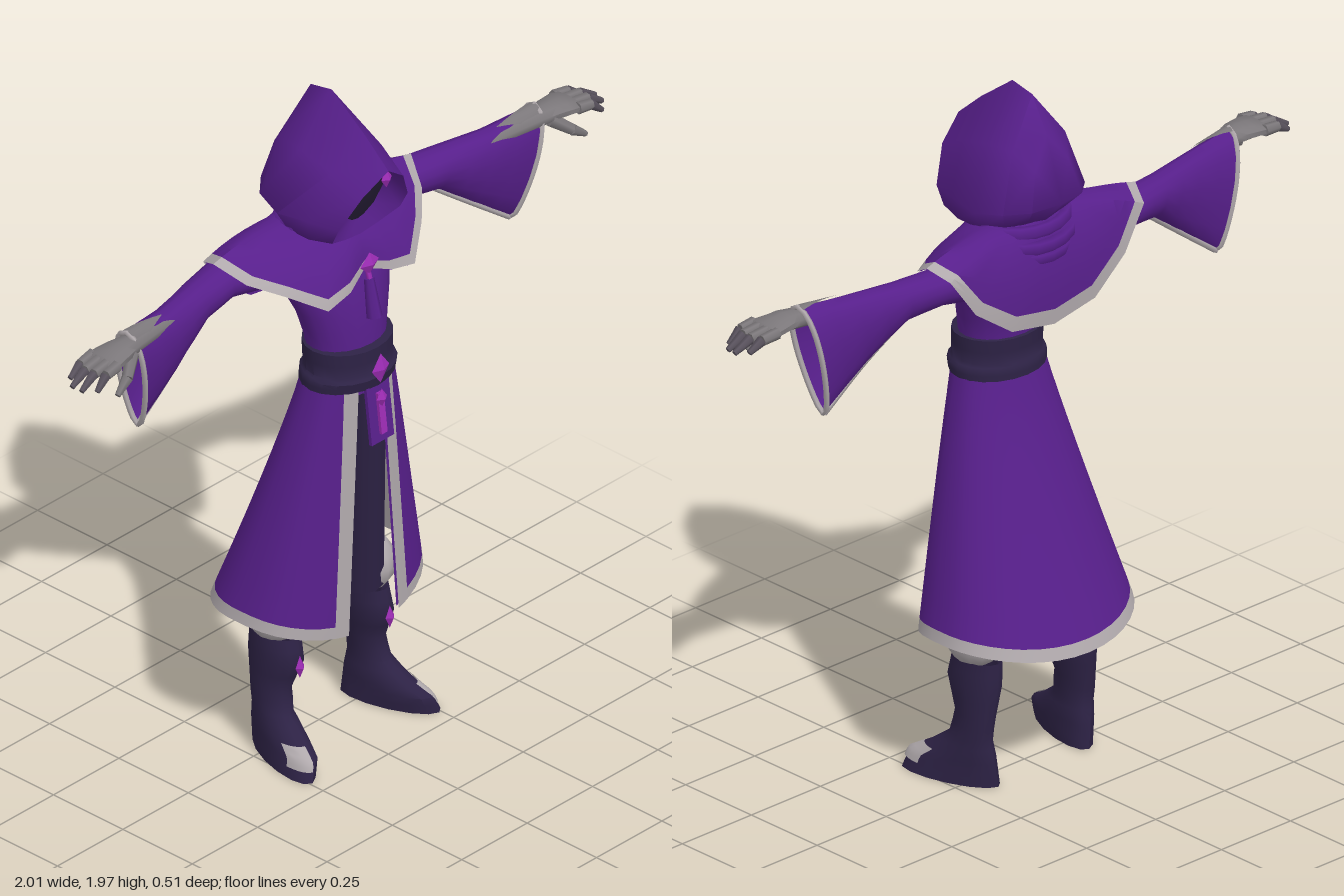
import * as THREE from 'three';
import { mergeVertices, toCreasedNormals } from 'three/addons/utils/BufferGeometryUtils.js';

const mat = (name, color) => new THREE.MeshStandardMaterial({ name, color, side: THREE.DoubleSide });
const V = (x, y, z) => new THREE.Vector3(x, y, z);
const lerp = THREE.MathUtils.lerp;

// grid surface from f(u, v) -> [x, y, z]
function sheet(f, nu, nv, crease = 0.9) {
  const pos = [], idx = [];
  for (let j = 0; j <= nv; j++) for (let i = 0; i <= nu; i++) pos.push(...f(i / nu, j / nv));
  for (let j = 0; j < nv; j++) for (let i = 0; i < nu; i++) {
    const a = j * (nu + 1) + i, b = a + 1, c = a + nu + 1, d = c + 1;
    idx.push(a, c, b, b, c, d);
  }
  const g = new THREE.BufferGeometry();
  g.setAttribute('position', new THREE.Float32BufferAttribute(pos, 3));
  g.setIndex(idx);
  return toCreasedNormals(mergeVertices(g, 1e-5), crease);
}
const part = (f, u0, u1, v0, v1) => (u, v) => f(lerp(u0, u1, u), lerp(v0, v1, v));

// linear interpolation along a list of rows of numbers
function rowAt(rows, v) {
  const s = Math.min(v, 0.99999) * (rows.length - 1), i = Math.floor(s);
  return rows[i].map((n, k) => lerp(n, rows[i + 1][k], s - i));
}
// horizontal oval rings: [y, centreX, halfWidth, frontZ, backZ], u = 0 at the front
const stack = (rows, grow = 0, slant = 0) => (u, v) => {
  const [y, cx, hw, zf, zb] = rowAt(rows, v), a = u * Math.PI * 2;
  const z = (zf + zb) / 2 + ((zf - zb) / 2 + grow) * Math.cos(a);
  return [cx + (hw + grow) * Math.sin(a) + slant * z * (1 - Math.min(1, y / 0.16)), y, z];
};
// closed mirrored rings, each given as half a ring from top centre to bottom centre
const mirrored = rings => (u, v) => {
  const n = rings[0].length - 1, k = Math.round(u * 2 * n), r = rings[Math.round(v * (rings.length - 1))];
  const p = r[k <= n ? k : 2 * n - k];
  return [k <= n ? p[0] : -p[0], p[1], p[2]];
};
// tapered rod between two points
function rod(a, b, ra, rb, sides = 8) {
  const g = new THREE.CylinderGeometry(rb, ra, a.distanceTo(b), sides);
  const q = new THREE.Quaternion().setFromUnitVectors(V(0, 1, 0), b.clone().sub(a).normalize());
  return g.applyQuaternion(q).translate((a.x + b.x) / 2, (a.y + b.y) / 2, (a.z + b.z) / 2);
}

export function createModel() {
  const purple = mat('robe purple', 0x571f8b), trim = mat('trim grey', 0xb0a9ac), dark = mat('dark leather', 0x2d2245),
    glove = mat('glove grey', 0x7b777a), tipGrey = mat('fingertip grey', 0x5a535e),
    gem = mat('gem magenta', 0x9c2cb4), face = mat('shadow face', 0x241c34);
  const model = new THREE.Group();
  const add = (name, geo, m, parent = model) => {
    const mesh = new THREE.Mesh(geo, m);
    mesh.name = name;
    parent.add(mesh);
    return mesh;
  };

  // torso and belt
  add('torso', sheet(stack([[1.1, 0, .13, .19, 0], [1.25, 0, .122, .19, 0], [1.35, 0, .15, .18, -.02],
    [1.45, 0, .19, .155, -.06], [1.54, 0, .16, .1, -.07], [1.62, 0, .07, .07, -.05]]), 20, 10), purple);
  add('belt', sheet(stack([[1.115, 0, .12, .19, .01], [1.125, 0, .143, .215, -.012], [1.155, 0, .143, .222, -.012],
    [1.167, 0, .13, .212, -.004], [1.24, 0, .132, .212, -.008], [1.245, 0, .11, .18, .01]]), 20, 10), dark);

  // skirt, open at the front
  const edge = (v, w) => Math.asin((lerp(.045, .095, v) + w) / lerp(.137, .31, v));
  const skirtPoint = (a, v, inset) => {
    const c = Math.cos(a), hw = lerp(.137, .31, v) - inset;
    const zf = lerp(.19, .205, v) - inset, zb = lerp(0, -.25, v ** 1.15) + inset;
    const hem = .44 - (c > 0 ? .06 : .04) * c * c;
    return [hw * Math.sin(a), lerp(1.14, hem, v), (zf + zb) / 2 + (zf - zb) / 2 * (c > 0 ? c ** .65 : c)];
  };
  const skirt = (w, inset = 0) => (u, v) => {
    const a0 = edge(v, w);
    return skirtPoint(lerp(a0, Math.PI * 2 - a0, u), v, inset);
  };
  add('skirt', sheet(part(skirt(.044), 0, 1, 0, .955), 32, 10), purple);
  add('skirtHem', sheet(part(skirt(.044), 0, 1, .955, 1), 32, 1), trim);
  for (const [u0, u1, m] of [[0, .2, purple], [.2, .8, trim], [.8, 1, purple]])
    add('skirtLining', sheet(part(skirt(.002, .008), u0, u1, .02, .995), 12, 10), m);
  for (const s of [1, -1])
    add('skirtFrontTrim', sheet((u, v) => skirtPoint(s * edge(v, u * .044), v, 0), 2, 10), trim);

  // belt ornament and hanging cloth
  const diamond = (name, x, y, z, w, h, parent = model) => {
    const m = add(name, new THREE.OctahedronGeometry(1), gem, parent);
    m.scale.set(w, h, .014);
    m.position.set(x, y, z);
  };
  diamond('beltGem', 0, 1.18, .222, .033, .045);
  diamond('clothGem', 0, 1.09, .226, .02, .028);
  const hanging = (name, w, h, z, m) => {
    const b = add(name, new THREE.BoxGeometry(w, h, .01), m);
    b.position.set(0, 1.045, z);
    b.rotation.x = -.12;
  };
  hanging('beltCloth', .085, .17, .216, purple);
  hanging('beltTassel', .022, .12, .225, gem);

  // shoulder cape with a trimmed hem, draped from the neck
  const hemHalf = [[0, 1.465, .165], [.08, 1.435, .19], [.165, 1.415, .19], [.26, 1.475, .125], [.335, 1.515, .055],
    [.378, 1.566, -.025], [.35, 1.535, -.088], [.27, 1.42, -.1], [.15, 1.335, -.112], [0, 1.31, -.115]];
  const cape = inset => (u, v) => {
    const side = u <= .5 ? 1 : -1, w = side > 0 ? u : 1 - u, [hx, hy, hz] = rowAt(hemHalf, w * 2);
    const a = w * Math.PI * 2, puff = .018 * Math.sin(Math.PI * v) - inset;
    const x = lerp(.1 * Math.sin(a), hx, v) + puff * Math.sin(a);
    return [side * x, lerp(1.605, hy, v) + puff * .4, lerp(.01 + .09 * Math.cos(a), hz, v) + puff * Math.cos(a)];
  };
  add('cape', sheet(part(cape(0), 0, 1, 0, .86), 36, 6), purple);
  add('capeTrim', sheet(part(cape(0), 0, 1, .86, 1), 36, 2), trim);
  add('capeLining', sheet(part(cape(.006), 0, 1, .5, 1), 36, 4), purple);
  for (const [y, r, z, tilt] of [[1.585, .13, .005, .12], [1.56, .135, -.01, .3], [1.535, .125, -.02, .42]]) {
    const fold = add('collarFold', new THREE.TorusGeometry(r, .026, 6, 20).rotateX(Math.PI / 2), purple);
    fold.scale.z = .68;
    fold.position.set(0, y, z);
    fold.rotation.x = -tilt;
  }
  diamond('brooch', 0, 1.487, .182, .036, .033);
  add('pendant', rod(V(0, 1.44, .18), V(0, 1.33, .2), .014, .022, 6), purple);
  add('pendantCord', rod(V(0, 1.48, .17), V(0, 1.43, .185), .008, .008, 5), gem);

  // hood: rings from the front rim to the back
  const rim = [[0, 1.8, .25], [.078, 1.742, .23], [.132, 1.65, .195], [.13, 1.6, .17], [.06, 1.575, .155], [0, 1.565, .15]];
  const mask = [[0, 1.785, .2], [.05, 1.757, .19], [.077, 1.69, .16], [.055, 1.635, .145], [.022, 1.612, .14], [0, 1.608, .14]];
  add('hood', sheet(mirrored([rim,
    [[0, 1.875, .165], [.095, 1.79, .135], [.16, 1.655, .11], [.145, 1.59, .1], [.07, 1.57, .1], [0, 1.56, .1]],
    [[0, 1.965, .045], [.105, 1.82, .03], [.172, 1.645, .01], [.14, 1.585, .02], [.07, 1.57, .02], [0, 1.56, .02]],
    [[0, 1.95, -.03], [.095, 1.82, -.055], [.148, 1.66, -.075], [.11, 1.6, -.04], [.06, 1.58, -.04], [0, 1.57, -.04]],
    [[0, 1.85, -.085], [.06, 1.77, -.105], [.09, 1.665, -.125], [.065, 1.62, -.085], [.04, 1.61, -.08], [0, 1.6, -.08]],
    Array(6).fill([0, 1.67, -.145])]), 10, 5, 1.2), purple);
  add('hoodLining', sheet(mirrored([rim, mask]), 10, 1), purple);
  add('shadowedFace', sheet(mirrored([mask, Array(6).fill([0, 1.69, .178])]), 10, 1), face);
  diamond('hoodGem', 0, 1.775, .243, .02, .028);

  for (const s of [1, -1]) {
    const half = new THREE.Group();
    half.name = s > 0 ? 'leftLimbs' : 'rightLimbs';
    half.scale.x = s;
    model.add(half);

    // wide sleeve: [topX, topY, bottomX, bottomY, z, halfDepth]
    const rows = [[.12, 1.55, .15, 1.41, -.02, .07], [.36, 1.553, .34, 1.45, -.03, .06], [.47, 1.55, .45, 1.435, -.012, .057],
      [.62, 1.553, .57, 1.345, .02, .056], [.78, 1.565, .71, 1.24, .042, .06]];
    const sleeve = (u, v) => {
      const [xt, yt, xb, yb, z, r] = rowAt(rows, v), a = u * Math.PI * 2, k = (1 - Math.cos(a)) / 2;
      return [lerp(xt, xb, k), lerp(yt, yb, k), z * (1 - .6 * k * v) + r * Math.sin(a) * (1 - .45 * k * v)];
    };
    add('sleeve', sheet(sleeve, 14, 8), purple, half);
    const line = (us, r, closed) => new THREE.TubeGeometry(
      new THREE.CatmullRomCurve3(us.map(([u, v]) => V(...sleeve(u, v))), closed), 28, r, 5, closed);
    add('cuffTrim', line([...Array(14).keys()].map(i => [i / 14, 1]), .008, true), trim, half);
    add('sleeveSeamTrim', line([[.5, .5], [.5, .75], [.5, 1]], .009, false), trim, half);
    // glove showing through the slit on top of the sleeve
    add('sleeveSlit', sheet((u, v) => {
      const p = sleeve(.04 + .09 * v * (2 * u - 1), lerp(.78, 1, v));
      return [p[0], p[1] + .005, p[2]];
    }, 6, 4), glove, half);

    // gloved hand
    const hand = [[.6, 1.52, .025, .024, .026], [.77, 1.53, .05, .026, .034], [.82, 1.535, .055, .024, .046],
      [.89, 1.532, .058, .019, .058], [.91, 1.528, .06, .001, .04]];
    add('hand', sheet((u, v) => {
      const [x, y, z, ry, rz] = rowAt(hand, v), a = u * Math.PI * 2;
      return [x, y + ry * Math.cos(a), z + rz * Math.sin(a)];
    }, 10, 8), glove, half);
    [[.014, .975], [.044, 1], [.074, .995], [.102, .965]].forEach(([z, tip], i) => {
      const a = V(.88, 1.533, z), b = V(lerp(.88, tip, .55), 1.527, z + .004), c = V(tip, 1.503 - i * .003, z + .008);
      add('finger', rod(a, b, .017, .015, 6), glove, half);
      add('fingerTip', rod(b, c, .015, .008, 6), tipGrey, half);
    });
    add('thumb', rod(V(.8, 1.525, .08), V(.85, 1.485, .11), .02, .016, 6), glove, half);
    add('thumbTip', rod(V(.85, 1.485, .11), V(.895, 1.455, .118), .016, .008, 6), glove, half);

    // leg with a gathered cuff at the knee
    add('leg', rod(V(.07, 1.06, .1), V(.14, .38, .02), .058, .062, 10), dark, half);
    const cuff = add('kneeCuff', new THREE.SphereGeometry(1, 12, 8), trim, half);
    cuff.scale.set(.078, .085, .085);
    cuff.position.set(.172, .42, .005);

    // boot with a turned-out foot
    const boot = [[.345, .165, .04, .06, -.06], [.36, .168, .054, .08, -.078], [.29, .172, .055, .095, -.08], [.2, .18, .044, .06, -.068],
      [.13, .185, .042, .075, -.06], [.085, .185, .048, .135, -.068], [.05, .185, .05, .195, -.072], [0, .185, .052, .205, -.074], [0, .185, 0, .05, .05]];
    add('boot', sheet(stack(boot, 0, .28), 14, 16), dark, half);
    add('toePatch', sheet(part(stack(boot, .004, .28), .02, .17, .65, .8), 5, 5), trim, half);
    diamond('bootGem', .172, .28, .093, .016, .034, half);
  }
  return model;
}
